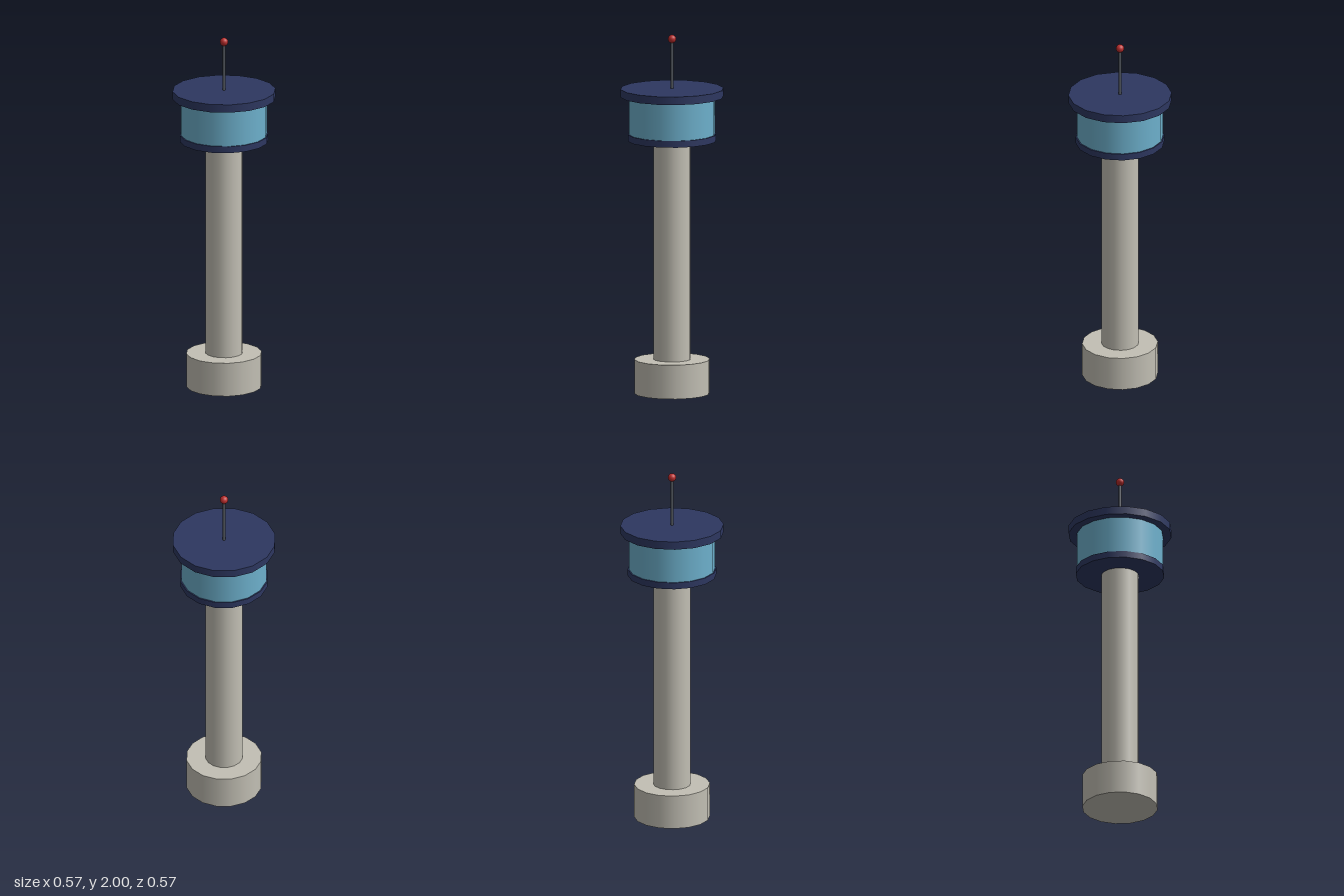
import * as THREE from 'three';

const concrete = new THREE.MeshStandardMaterial({ color: 0xc2bfb4 });
const navy = new THREE.MeshStandardMaterial({ color: 0x2d3760 });
const glass = new THREE.MeshStandardMaterial({ color: 0x6db0cc });
const steel = new THREE.MeshStandardMaterial({ color: 0x50555c });
const red = new THREE.MeshStandardMaterial({ color: 0xb82c2c });

export function createModel() {
  const tower = new THREE.Group();
  tower.name = 'controlTower';

  // Upright drum between two heights
  const drum = (name, radius, bottom, top, material, sides = 16) => {
    const geometry = new THREE.CylinderGeometry(radius, radius, top - bottom, sides);
    const mesh = new THREE.Mesh(geometry, material);
    mesh.position.y = (bottom + top) / 2;
    mesh.name = name;
    tower.add(mesh);
  };

  // Concrete base and shaft
  drum('base', 0.209, 0, 0.19, concrete);
  drum('shaft', 0.103, 0.19, 1.41, concrete);

  // Glazed cabin between its floor and overhanging roof
  drum('cabinFloor', 0.245, 1.41, 1.447, navy);
  drum('cabinWindows', 0.238, 1.447, 1.655, glass);
  drum('roof', 0.285, 1.655, 1.7, navy);

  // Antenna with warning light
  drum('antenna', 0.0085, 1.7, 1.97, steel, 8);
  const light = new THREE.Mesh(new THREE.SphereGeometry(0.023, 16, 12), red);
  light.position.y = 1.977;
  light.name = 'warningLight';
  tower.add(light);

  return tower;
}
